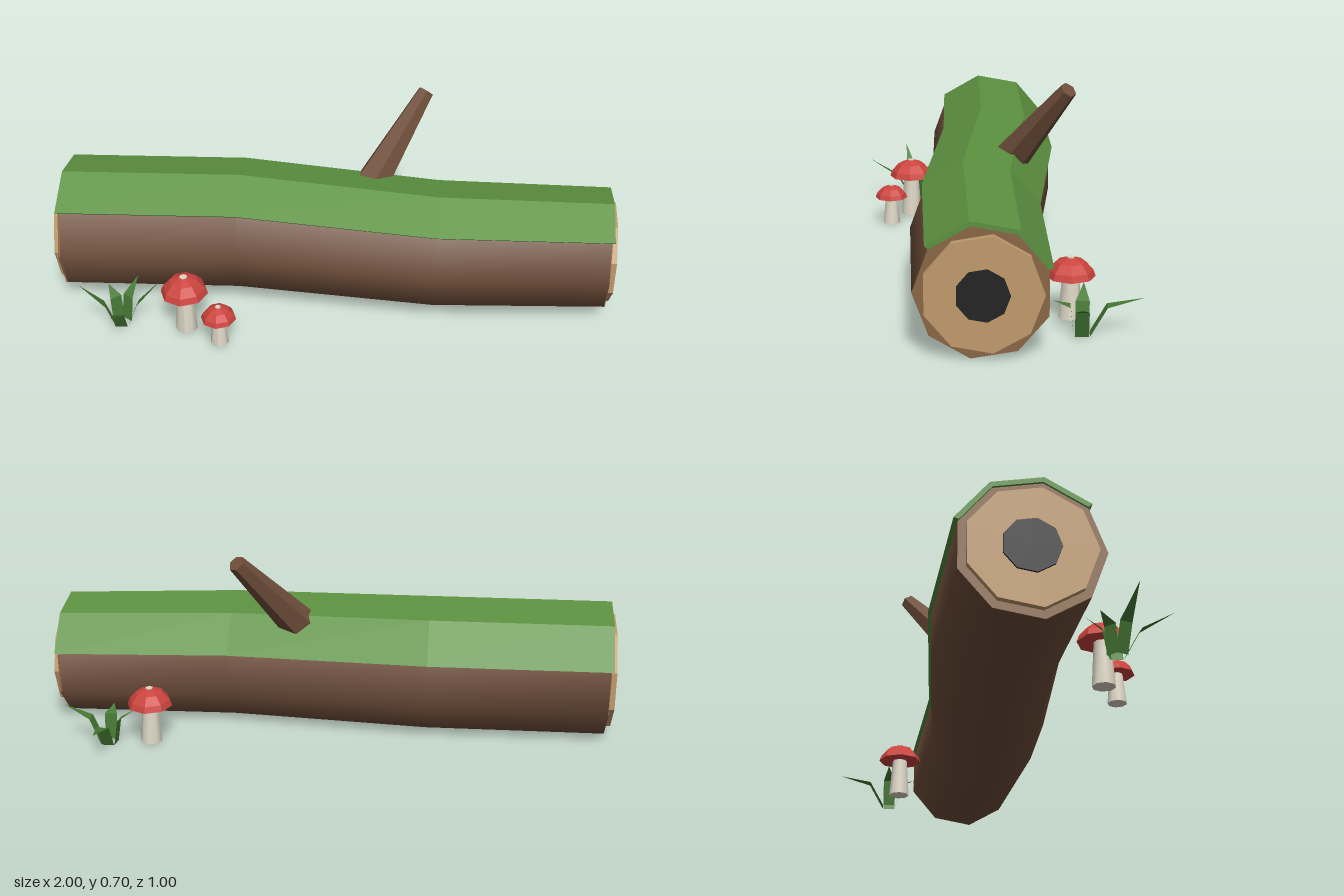
import * as THREE from 'three';

const mat = (name, color, double = false) => {
  const m = new THREE.MeshStandardMaterial({ color });
  m.name = name;
  if (double) m.side = THREE.DoubleSide;
  return m;
};

// Trunk rings: x, centre y, centre z, radius
const RINGS = [
  [-0.97, 0.23, 0.01, 0.23],
  [-0.34, 0.234, -0.015, 0.23],
  [0.36, 0.22, 0.035, 0.22],
  [0.97, 0.213, 0, 0.21],
];

// Point on a ring; the angle runs from +z up towards +y
function ringPoint([x, y, z, r], deg, scale = 1, lift = 0) {
  const a = THREE.MathUtils.degToRad(deg);
  return [x, y + lift + Math.sin(a) * r * scale, z + Math.cos(a) * r * scale];
}

// Skin between successive closed cross-sections
function loft(sections, extra = []) {
  const n = sections[0].length;
  const index = [];
  for (let i = 0; i < sections.length - 1; i++) {
    for (let j = 0; j < n; j++) {
      const k = (j + 1) % n;
      const a = i * n + j, b = a + n, c = (i + 1) * n + k, d = i * n + k;
      index.push(a, b, c, a, c, d);
    }
  }
  index.push(...extra);
  const g = new THREE.BufferGeometry();
  g.setAttribute('position', new THREE.Float32BufferAttribute(sections.flat(2), 3));
  g.setIndex(index);
  return g;
}

export function createModel() {
  const model = new THREE.Group();
  model.name = 'mossyLog';
  const bark = mat('bark', 0x6f4e3a);
  const rim = mat('cut rim', 0x8a6646);
  const wood = mat('cut wood', 0xbf9a6c);
  const dark = mat('hollow', 0x242424);
  const moss = mat('moss', 0x5c9140);
  const leaf = mat('grass', 0x477a35, true);
  const stemMat = mat('mushroom stem', 0xe0d9c8);
  const capMat = mat('mushroom cap', 0xcc443e);

  const add = (parent, name, geometry, material) => {
    const mesh = new THREE.Mesh(geometry, material);
    mesh.name = name;
    parent.add(mesh);
    return mesh;
  };
  const flat = (g) => {
    const f = g.index ? g.toNonIndexed() : g;
    f.computeVertexNormals();
    return f;
  };

  // Nine-sided, slightly bent trunk
  const angles = Array.from({ length: 9 }, (_, i) => i * 40);
  const trunk = loft(RINGS.map((r) => angles.map((a) => ringPoint(r, a))));
  trunk.computeVertexNormals();
  add(model, 'trunk', trunk, bark);

  // Cut ends: rim, pale wood and hollow
  for (const side of [-1, 1]) {
    const [, y, z, r] = RINGS[side < 0 ? 0 : 3];
    const end = new THREE.Group();
    end.name = side < 0 ? 'rightEnd' : 'leftEnd';
    const disc = (name, radius, from, to, material, turn) => {
      const g = new THREE.CylinderGeometry(radius, radius, to - from, 9);
      g.rotateY(turn).rotateZ(Math.PI / 2);
      add(end, name, flat(g), material).position.set((side * (from + to)) / 2, y, z);
    };
    const turn = side > 0 ? Math.PI : 0;
    disc('cutRim', r, 0.965, 0.972, rim, 0);
    disc('cutWood', r * 0.88, 0.972, 0.993, wood, turn);
    disc('hollow', r * 0.395, 0.993, 1, dark, turn);
    model.add(end);
  }

  // Moss slab over the three upper faces
  const top = [40, 80, 120, 160];
  const sections = RINGS.map((r) => {
    const s = [r[0] * 1.01, r[1], r[2], r[3]];
    return [
      ...top.map((a) => ringPoint(s, a, 1.06, 0.004)),
      ...top.slice().reverse().map((a) => ringPoint(s, a, 0.985, 0.004)),
    ];
  });
  const caps = [];
  for (let k = 0; k < 3; k++) {
    const q = [k, k + 1, 6 - k, 7 - k];
    caps.push(q[0], q[1], q[2], q[0], q[2], q[3]);
    const e = q.map((v) => v + 24);
    caps.push(e[0], e[2], e[1], e[0], e[3], e[2]);
  }
  add(model, 'moss', flat(loft(sections, caps)), moss);

  // Broken branch stub
  const from = new THREE.Vector3(0.09, 0.35, -0.05);
  const to = new THREE.Vector3(0.302, 0.682, -0.275);
  const dir = to.clone().sub(from);
  const branch = add(model, 'branch',
    flat(new THREE.CylinderGeometry(0.03, 0.07, dir.length(), 6)), bark);
  branch.position.copy(from).addScaledVector(dir, 0.5);
  branch.quaternion.setFromUnitVectors(new THREE.Vector3(0, 1, 0), dir.normalize());

  // Mushrooms: x, z, cap radius, cap rim height
  for (const [x, z, r, h] of [
    [-0.51, 0.31, 0.084, 0.16],
    [-0.38, 0.38, 0.062, 0.108],
    [0.625, -0.275, 0.08, 0.145],
  ]) {
    const mushroom = new THREE.Group();
    mushroom.name = 'mushroom';
    mushroom.position.set(x, 0, z);
    const stemHeight = h + 0.01 - 0.005;
    const stem = new THREE.CylinderGeometry(0.31 * r + 0.002, 0.3 * r + 0.014, stemHeight, 8);
    stem.computeVertexNormals();
    add(mushroom, 'stem', stem, stemMat).position.y = 0.005 + stemHeight / 2;
    const profile = [[0.001, 0], [1, 0], [0.9, 0.27], [0.6, 0.6], [0.18, 0.77], [0.001, 0.77]];
    const cap = new THREE.LatheGeometry(profile.map(([a, b]) => new THREE.Vector2(a * r, b * r)), 8);
    add(mushroom, 'cap', flat(cap), capMat).position.y = h;
    add(mushroom, 'capSpot', new THREE.CylinderGeometry(0.17 * r, 0.17 * r, 0.003, 6), stemMat)
      .position.y = h + 0.77 * r + 0.001;
    model.add(mushroom);
  }

  // Bent, pointed grass blade leaning towards (dx, dz)
  function blade(dx, dz, tipY) {
    const len = Math.hypot(dx, dz);
    const ux = dx / len, uz = dz / len;
    const at = (r, y, w) => [ux * r - uz * w, y, uz * r + ux * w];
    const mid = Math.max(0.03, len * 0.4);
    const b0 = at(0.025, 0.004, -0.022), b1 = at(0.025, 0.004, 0.022);
    const m0 = at(mid, 0.098, -0.022), m1 = at(mid, 0.098, 0.022);
    const tip = at(len, tipY, 0);
    const g = new THREE.BufferGeometry();
    g.setAttribute('position', new THREE.Float32BufferAttribute(
      [b0, b1, m1, b0, m1, m0, m0, m1, tip].flat(), 3));
    return flat(g);
  }
  const tufts = [
    [-0.745, 0.305, [[-0.13, 0.05, 0.2], [0.155, 0.01, 0.21], [0.015, 0.19, 0.17],
      [-0.055, -0.06, 0.13], [0.05, -0.085, 0.155]]],
    [0.77, -0.305, [[0, -0.195, 0.125], [0.155, 0.005, 0.14], [0, 0.09, 0.115],
      [-0.1, -0.01, 0.14]]],
  ];
  for (const [x, z, blades] of tufts) {
    const tuft = new THREE.Group();
    tuft.name = 'grassTuft';
    tuft.position.set(x, 0, z);
    for (const b of blades) add(tuft, 'blade', blade(...b), leaf);
    model.add(tuft);
  }
  return model;
}
